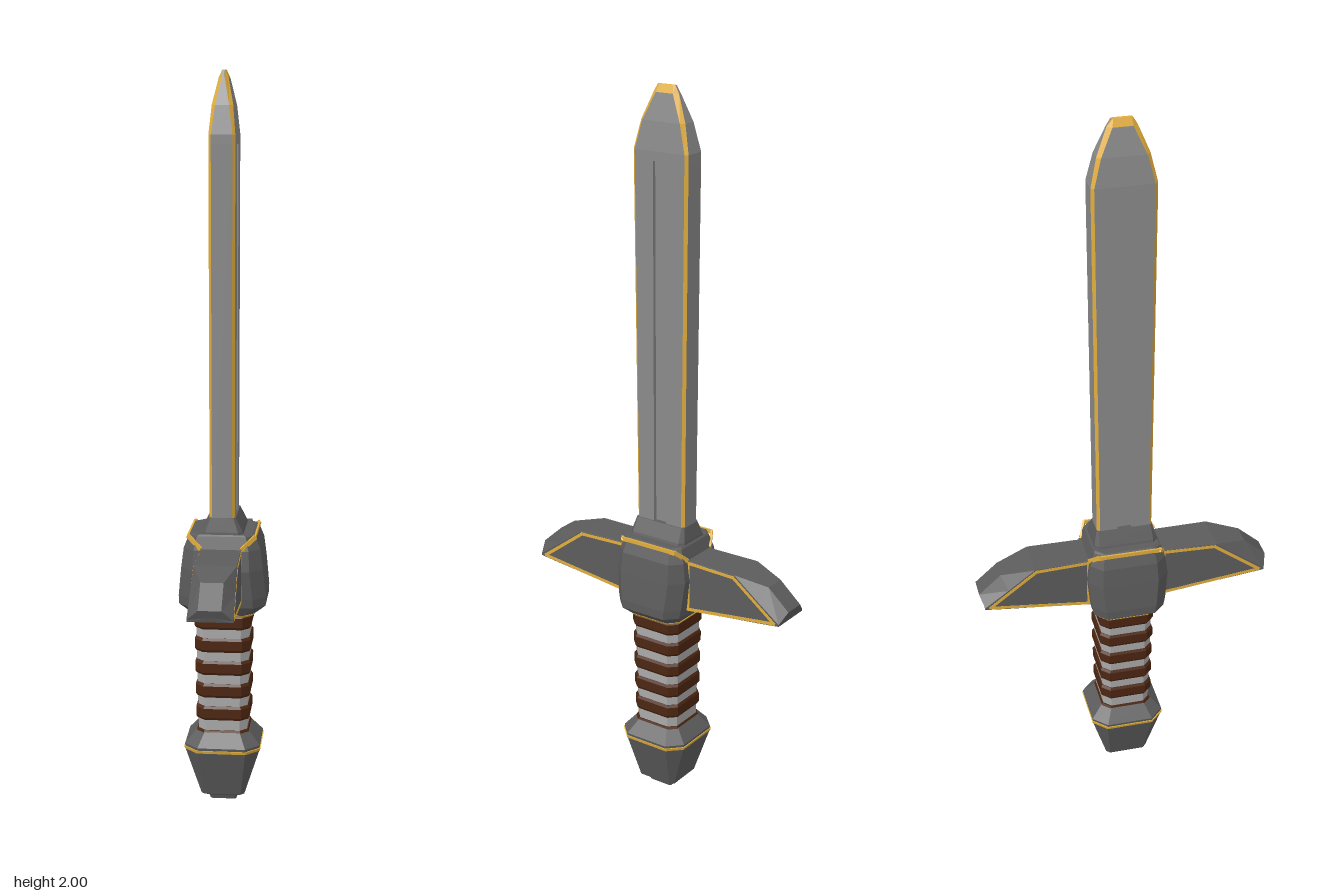
import * as THREE from 'three';

const material = (color) => new THREE.MeshStandardMaterial({ color, flatShading: true });
const bladeSteel = material(0x8a8a8a);
const darkSteel = material(0x5c5c5c);
const gripGrey = material(0xaaaaaa);
const gold = material(0xe2ae3c);
const leather = material(0x4c2611);

// Faceted skin over a list of rings; keep(side, level) selects which faces to build.
function loft(rings, { keep = () => true, start = true, end = true } = {}) {
  const pos = [];
  const tri = (a, b, c) => {
    const n = b.clone().sub(a).cross(c.clone().sub(a));
    if (n.length() > 1e-9) for (const p of [a, b, c]) pos.push(p.x, p.y, p.z);
  };
  const n = rings[0].length;
  for (let k = 0; k < rings.length - 1; k++) {
    for (let i = 0; i < n; i++) {
      if (!keep(i, k)) continue;
      const j = (i + 1) % n, p = rings[k], q = rings[k + 1];
      tri(p[i], q[i], p[j]);
      tri(p[j], q[i], q[j]);
    }
  }
  const cap = (ring, flip) => {
    const c = ring.reduce((s, p) => s.add(p), new THREE.Vector3()).divideScalar(n);
    for (let i = 0; i < n; i++) {
      const j = (i + 1) % n;
      tri(c, ring[flip ? j : i], ring[flip ? i : j]);
    }
  };
  if (start) cap(rings[0], false);
  if (end) cap(rings[rings.length - 1], true);
  const g = new THREE.BufferGeometry();
  g.setAttribute('position', new THREE.Float32BufferAttribute(pos, 3));
  g.computeVertexNormals();
  return g;
}

// Rectangle with cut corners at height y: half sizes x and z, corner cut c.
const oct = ([y, x, z, c]) => [
  [x, -z + c], [x, z - c], [x - c, z], [-x + c, z],
  [-x, z - c], [-x, -z + c], [-x + c, -z], [x - c, -z],
].map(([px, pz]) => new THREE.Vector3(px, y, pz));

function add(parent, name, geometry, mat) {
  const mesh = new THREE.Mesh(geometry, mat);
  mesh.name = name;
  parent.add(mesh);
  return mesh;
}

const octPart = (parent, name, rows, mat) => add(parent, name, loft(rows.map(oct)), mat);

// Flat gold strip between two points, thin sideways and taller upright.
function strip(parent, name, a, b, thick, tall) {
  const A = new THREE.Vector3(...a), B = new THREE.Vector3(...b);
  const mesh = add(parent, name, new THREE.BoxGeometry(thick, tall, A.distanceTo(B) + thick), gold);
  mesh.position.copy(A).add(B).multiplyScalar(0.5);
  mesh.lookAt(B);
}

// Blade: flat faces with a fuller, bevelled gold corners and a tapered tip
function makeBlade() {
  const group = new THREE.Group();
  group.name = 'blade';
  const ring = ([y, w, a, zi, zo, d]) => {
    const g = Math.min(0.02, zi * 0.5);
    const half = [[w, -zi], [w, -g], [w - d, -g], [w - d, g], [w, g], [w, zi], [a, zo], [-a, zo]];
    return half.concat(half.map(([x, z]) => [-x, -z])).map(([x, z]) => new THREE.Vector3(x, y, z));
  };
  // height, half thickness, edge half thickness, face half width, edge half width, fuller depth
  const rings = [
    [0.78, 0.034, 0.027, 0.069, 0.077, 0.01],
    [1.81, 0.035, 0.028, 0.077, 0.085, 0.01],
    [1.81, 0.035, 0.028, 0.077, 0.085, 0],
    [1.835, 0.035, 0.028, 0.077, 0.085, 0],
    [1.91, 0.028, 0.018, 0.058, 0.068, 0],
    [1.98, 0.013, 0.004, 0.026, 0.039, 0],
    [2.0, 0.004, 0.003, 0.022, 0.027, 0],
  ].map(ring);
  const isGold = (i, k) => i % 8 === 5 || i % 8 === 7 || (k === 5 && i % 8 !== 6);
  add(group, 'bladeBody', loft(rings, { keep: (i, k) => !isGold(i, k), start: false, end: false }), bladeSteel);
  add(group, 'bladeEdging', loft(rings, { keep: isGold, start: false }), gold);
  return group;
}

// Guard wing along +z with bevelled top corners and gold piping on both sides
function makeWing() {
  const group = new THREE.Group();
  group.name = 'guardWing';
  // z, half width, bottom y, side top y, ridge half width, ridge y, ridge z
  const rings = [
    [0.06, 0.0535, 0.583, 0.738, 0.052, 0.739, 0.06],
    [0.26, 0.0573, 0.609, 0.735, 0.0565, 0.737, 0.26],
    [0.335, 0.0588, 0.618, 0.68, 0.03, 0.716, 0.35],
    [0.402, 0.06, 0.627, 0.632, 0.03, 0.66, 0.413],
  ].map(([z, s, yb, yt, c, yc, zc]) => [
    [s, yb, z], [-s, yb, z], [-s, yt, z], [-c, yc, zc], [c, yc, zc], [s, yt, z],
  ].map((p) => new THREE.Vector3(...p)));
  add(group, 'wingBody', loft(rings), darkSteel);
  for (const s of [1, -1]) {
    const path = [[0.0522, 0.594, 0.108], [0.0522, 0.732, 0.108], [0.055, 0.729, 0.255], [0.0573, 0.631, 0.387]]
      .map(([x, y, z]) => [s * x, y, z]);
    path.forEach((p, i) => strip(group, 'wingPiping', p, path[(i + 1) % path.length], 0.006, 0.009));
  }
  return group;
}

export function createModel() {
  const model = new THREE.Group();
  model.name = 'shortSword';
  model.add(makeBlade());

  // Guard: centre block, collar, piping and two wings
  octPart(model, 'guardBlock', [
    [0.545, 0.082, 0.08, 0.025],
    [0.575, 0.118, 0.1, 0.032],
    [0.60, 0.119, 0.105, 0.034],
    [0.68, 0.111, 0.113, 0.034],
    [0.735, 0.104, 0.106, 0.03],
    [0.772, 0.09, 0.094, 0.024],
    [0.776, 0.082, 0.09, 0.022],
  ], darkSteel);
  octPart(model, 'bladeCollar', [
    [0.765, 0.062, 0.09, 0.015],
    [0.782, 0.056, 0.088, 0.012],
    [0.82, 0.037, 0.079, 0.006],
  ], darkSteel);
  octPart(model, 'guardBaseTrim', [[0.543, 0.083, 0.081, 0.025], [0.549, 0.088, 0.085, 0.026]], gold);
  for (const sx of [1, -1]) {
    strip(model, 'guardPiping', [sx * 0.0905, 0.769, -0.086], [sx * 0.0905, 0.769, 0.086], 0.005, 0.012);
    for (const sz of [1, -1]) {
      strip(model, 'guardPiping', [sx * 0.0895, 0.77, sz * 0.088], [sx * 0.057, 0.741, sz * 0.105], 0.006, 0.012);
    }
  }
  for (const turn of [0, Math.PI]) {
    const wing = makeWing();
    wing.rotation.y = turn;
    model.add(wing);
  }

  // Grip with five leather bands and a thin one at its foot
  octPart(model, 'grip', [[0.2, 0.067, 0.067, 0.02], [0.55, 0.074, 0.074, 0.022]], gripGrey);
  octPart(model, 'gripFootBand', [[0.205, 0.0735, 0.0735, 0.022], [0.213, 0.07, 0.07, 0.021]], leather);
  for (let i = 0; i < 5; i++) {
    const y = 0.525 - i * 0.0655;
    const r = 0.078 - i * 0.001;
    octPart(model, 'gripBand', [
      [y - 0.02, r - 0.004, r - 0.004, 0.021],
      [y - 0.013, r, r, 0.022],
      [y + 0.013, r, r, 0.022],
      [y + 0.02, r - 0.004, r - 0.004, 0.021],
    ], leather);
  }

  // Pommel with a gold line below its shoulder
  octPart(model, 'pommel', [
    [0, 0.036, 0.036, 0.005],
    [0.012, 0.04, 0.04, 0.006],
    [0.022, 0.06, 0.06, 0.01],
    [0.155, 0.102, 0.102, 0.036],
    [0.172, 0.104, 0.104, 0.038],
    [0.208, 0.073, 0.073, 0.024],
  ], darkSteel);
  octPart(model, 'pommelTrim', [[0.157, 0.104, 0.104, 0.037], [0.165, 0.106, 0.106, 0.038]], gold);

  return model;
}
